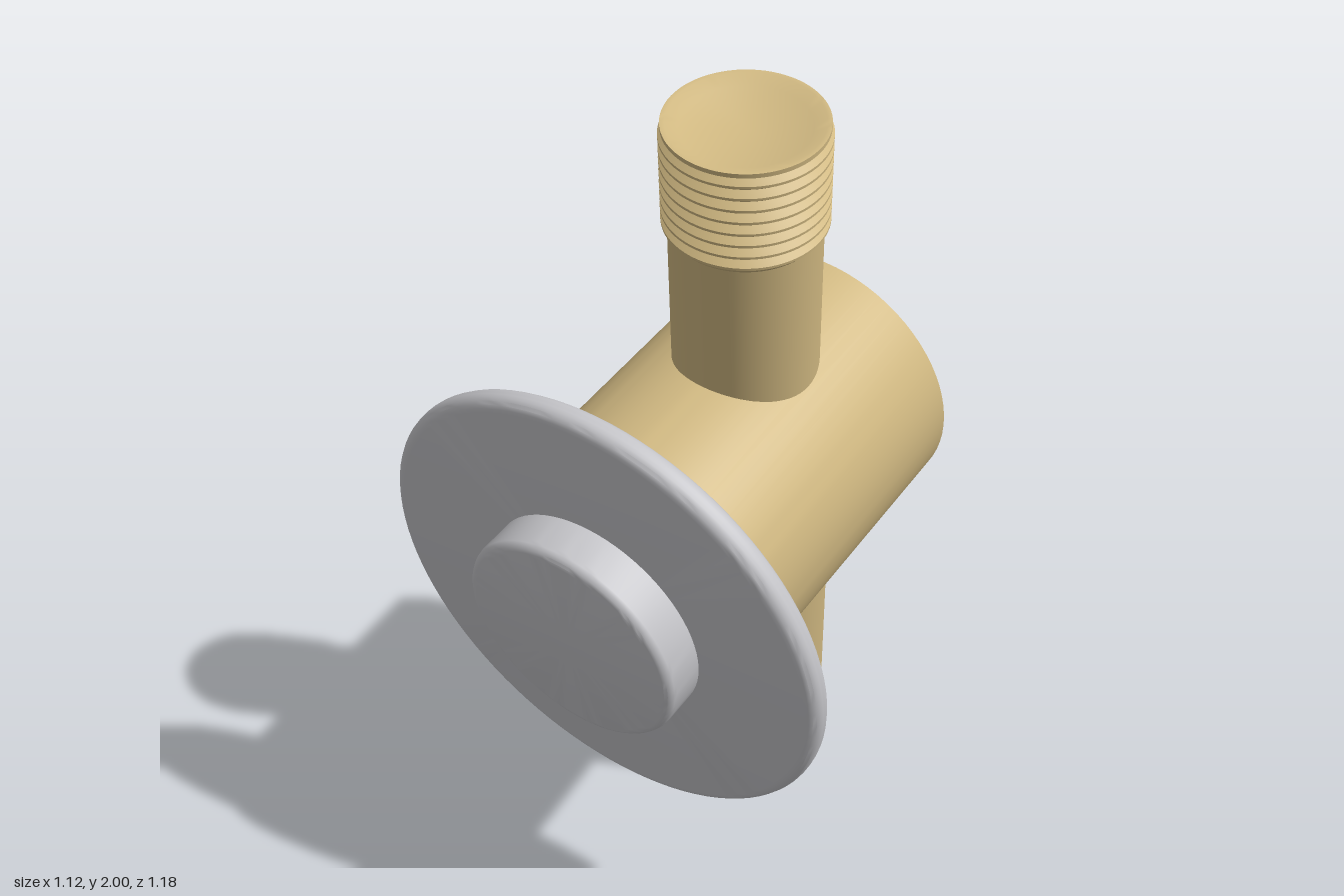
import * as THREE from 'three';
import { toCreasedNormals } from 'three/addons/utils/BufferGeometryUtils.js';

const brass = new THREE.MeshStandardMaterial({ color: 0xd1b982 });
brass.name = 'brass';
const steel = new THREE.MeshStandardMaterial({ color: 0xc4c4c8 });
steel.name = 'brushed grey';

// Turned part about the y axis; profile runs [radius, height] from bottom to top
function turned(name, profile, material, segments = 72) {
  const pts = profile.map(([r, y]) => new THREE.Vector2(r, y));
  const mesh = new THREE.Mesh(toCreasedNormals(new THREE.LatheGeometry(pts, segments), 0.6), material);
  mesh.name = name;
  return mesh;
}

// Quarter-round corner points, from angle a0 to a1
function corner(r, y, fillet, a0, a1, steps = 5) {
  return Array.from({ length: steps + 1 }, (_, i) => {
    const a = a0 + ((a1 - a0) * i) / steps;
    return [r + fillet * Math.cos(a), y + fillet * Math.sin(a)];
  });
}

export function createModel() {
  const model = new THREE.Group();
  model.name = 'pushValve';
  const H = Math.PI / 2;

  // Tilted frame: pipes run along local y, the valve body along local z
  const tilted = new THREE.Group();
  tilted.name = 'tiltedValve';
  const v = new THREE.Vector3(0.151, 1, 0.2565).normalize();
  const u = v.clone().cross(new THREE.Vector3(-0.04, -0.25, 1)).normalize();
  const w = u.clone().cross(v);
  tilted.quaternion.setFromRotationMatrix(new THREE.Matrix4().makeBasis(u, v, w));
  tilted.position.set(0.019, 1.05, -0.136);
  model.add(tilted);

  // Body, wall plate and push button share the forward axis
  const forward = new THREE.Group();
  forward.name = 'bodyAndButton';
  forward.rotation.x = H;
  tilted.add(forward);

  forward.add(turned('valveBody', [
    [0, -0.33], [0.34, -0.33], ...corner(0.315, 0.5, 0.025, 0, H), [0, 0.525],
  ], brass));

  forward.add(turned('wallPlate', [
    [0, 0.522], ...corner(0.5345, 0.55, 0.028, -H, 0),
    ...corner(0.5345, 0.556, 0.028, 0, H), [0, 0.584],
  ], steel, 96));

  forward.add(turned('pushButton', [
    [0.27, 0.58], ...corner(0.245, 0.662, 0.025, 0, H), [0, 0.69],
  ], steel));

  // Hollow outlet pipe
  tilted.add(turned('outletPipe', [
    [0, -0.3], [0.165, -0.3], [0.165, -1.036], [0.2, -1.036], [0.2, -0.1],
  ], brass));

  // Inlet pipe with ring threads and a shallow dished end
  tilted.add(turned('inletPipe', [[0.164, 0.1], [0.164, 0.7]], brass));
  const threads = [[0.162, 0.685]];
  const turns = 8, pitch = 0.235 / turns;
  for (let i = 0; i < turns; i++) {
    const y = 0.69 + i * pitch;
    threads.push([0.177, y + pitch * 0.4], [0.177, y + pitch * 0.6], [0.163, y + pitch]);
  }
  threads.push([0.172, 0.93], [0.172, 0.94], [0.162, 0.94], [0.136, 0.928], [0, 0.92]);
  tilted.add(turned('inletThread', threads, brass));

  return model;
}
